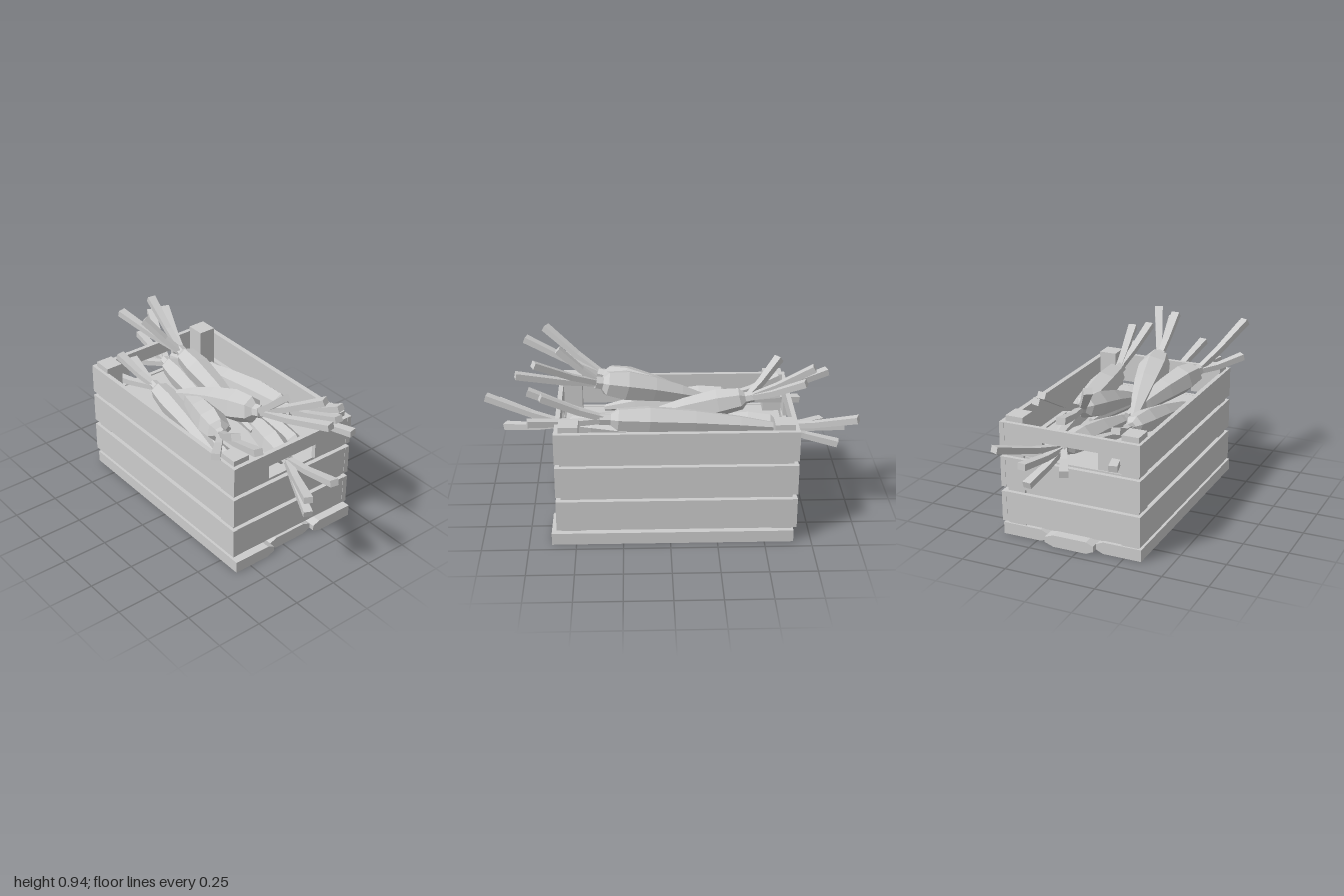
import * as THREE from 'three';

const material = new THREE.MeshStandardMaterial({ color: 0xcccccc, flatShading: true, side: THREE.DoubleSide });

function add(group, name, geometry) {
  const mesh = new THREE.Mesh(geometry, material);
  mesh.name = name;
  group.add(mesh);
  return mesh;
}

// Box given by its limits on each axis
function box(group, name, x0, x1, y0, y1, z0, z1) {
  const mesh = add(group, name, new THREE.BoxGeometry(x1 - x0, y1 - y0, z1 - z0));
  mesh.position.set((x0 + x1) / 2, (y0 + y1) / 2, (z0 + z1) / 2);
}

// Outline of [z, y] points pulled along x
function extrudeX(group, name, points, x0, x1) {
  const shape = new THREE.Shape(points.map(([z, y]) => new THREE.Vector2(-z, y)));
  const geometry = new THREE.ExtrudeGeometry(shape, { depth: x1 - x0, bevelEnabled: false });
  geometry.rotateY(Math.PI / 2);
  geometry.translate(x0, 0, 0);
  add(group, name, geometry);
}

// Closed faceted tube; each ring is [centre, half width, half height]
function loft(rings, sides, twist) {
  const first = rings[0][0], last = rings[rings.length - 1][0];
  const dir = last.clone().sub(first).normalize();
  const side = new THREE.Vector3(0, 1, 0).cross(dir).normalize();
  const up = dir.clone().cross(side);
  const positions = [], index = [];
  for (const [c, w, h] of rings) {
    for (let j = 0; j < sides; j++) {
      const a = twist + (j / sides) * Math.PI * 2;
      const p = c.clone().addScaledVector(side, Math.cos(a) * w).addScaledVector(up, Math.sin(a) * h);
      positions.push(p.x, p.y, p.z);
    }
  }
  const start = rings.length * sides, end = start + 1;
  positions.push(...first.toArray(), ...last.toArray());
  for (let j = 0; j < sides; j++) {
    const k = (j + 1) % sides, top = (rings.length - 1) * sides;
    for (let i = 0; i < rings.length - 1; i++) {
      const a = i * sides + j, b = i * sides + k;
      index.push(a, b, b + sides, a, b + sides, a + sides);
    }
    index.push(start, k, j, end, top + j, top + k);
  }
  const geometry = new THREE.BufferGeometry();
  geometry.setAttribute('position', new THREE.Float32BufferAttribute(positions, 3));
  geometry.setIndex(index);
  const flat = geometry.toNonIndexed();
  flat.computeVertexNormals();
  return flat;
}

// Tapered root with a faceted shoulder and short neck, and stalks that widen to blunt ends
function carrot(parent, { tip, crown, r, leaves = [] }) {
  const group = new THREE.Group();
  group.name = 'carrot';
  const a = new THREE.Vector3(...tip), b = new THREE.Vector3(...crown);
  const profile = [[0, 0.25], [0.25, 0.6], [0.5, 0.85], [0.75, 1], [0.92, 0.8], [0.96, 0.42], [1.02, 0.4]];
  const rings = profile.map(([t, s]) => {
    const c = a.clone().lerp(b, t);
    c.y += Math.sin(Math.min(t, 1) * Math.PI) * 0.012;
    return [c, r * s, r * s];
  });
  add(group, 'root', loft(rings, 6, 0.3));
  const back = b.clone().lerp(a, 0.03);
  for (const leaf of leaves) {
    const e = new THREE.Vector3(...leaf);
    const mid = back.clone().lerp(e, 0.45);
    mid.y -= 0.01;
    add(group, 'stalk', loft([[back, 0.022, 0.02], [mid, 0.026, 0.022], [e, 0.033, 0.025]], 4, Math.PI / 4));
  }
  parent.add(group);
}

export function createModel() {
  const model = new THREE.Group();
  model.name = 'carrotCrate';
  const crate = new THREE.Group();
  crate.name = 'crate';
  model.add(crate);

  // Floor planks with chamfered joints
  const H = 0.066, n0 = 0.018, n1 = 0.048;
  extrudeX(crate, 'floorPlank', [[0.345, 0], [0.345, H], [0.13, H], [0.09, n1], [0.09, n0], [0.13, 0]], -0.655, 0.63);
  extrudeX(crate, 'floorPlank', [[0.05, 0], [0.09, n0], [0.09, n1], [0.05, H], [-0.14, H], [-0.19, n1], [-0.19, n0], [-0.14, 0]], -0.69, 0.6);
  extrudeX(crate, 'floorPlank', [[-0.45, 0], [-0.45, H], [-0.23, H], [-0.19, n1], [-0.19, n0], [-0.23, 0]], -0.655, 0.63);

  // Corner posts
  for (const [x0, x1] of [[-0.645, -0.54], [0.475, 0.578]])
    for (const [z0, z1] of [[-0.422, -0.323], [0.232, 0.328]])
      box(crate, 'cornerPost', x0, x1, 0.06, 0.675, z0, z1);

  // Filling under the top layer, seen through the gaps between slats
  box(crate, 'filling', -0.63, 0.565, 0.06, 0.455, -0.405, 0.305);

  // Slats on the long sides and the ends
  const rows = [[0.085, 0.255], [0.283, 0.452], [0.477, 0.645]];
  rows.forEach(([y0, y1], i) => {
    box(crate, 'frontSlat', -0.67, 0.603, y0, y1, 0.32, 0.345);
    box(crate, 'backSlat', -0.67, 0.603, y0, y1, -0.448, -0.42);
    for (const [x0, x1] of [[-0.668, -0.643], [0.576, 0.601]]) {
      if (i < 2) box(crate, 'endSlat', x0, x1, y0, y1, -0.446, 0.343);
      else extrudeX(crate, 'handleSlat', [[0.343, y0], [0.343, y1], [-0.446, y1], [-0.446, y0],
        [-0.2, y0], [-0.2, 0.567], [0.115, 0.567], [0.115, y0]], x0, x1);
    }
  });

  // Carrots on top of the pile and poking through the handles
  const carrots = [
    { tip: [-0.62, 0.54, -0.17], crown: [0.35, 0.635, -0.24], r: 0.08,
      leaves: [[0.74, 0.66, -0.33], [0.74, 0.79, -0.22], [0.67, 0.79, -0.3]] },
    { tip: [0.25, 0.52, -0.07], crown: [-0.44, 0.69, -0.1], r: 0.074,
      leaves: [[-0.77, 0.87, -0.14], [-0.72, 0.81, -0.2], [-0.6, 0.86, 0.03], [-0.86, 0.79, 0.01]] },
    { tip: [-0.22, 0.59, 0.11], crown: [0.38, 0.74, 0], r: 0.088,
      leaves: [[0.59, 0.93, 0.01], [0.71, 0.91, -0.15], [0.81, 0.83, -0.1]] },
    { tip: [-0.2, 0.59, 0.06], crown: [0.37, 0.69, 0.24], r: 0.08,
      leaves: [[0.68, 0.91, 0.4], [0.79, 0.86, 0.35], [0.56, 0.74, 0.43]] },
    { tip: [0.35, 0.49, 0.22], crown: [-0.36, 0.59, 0.14], r: 0.068,
      leaves: [[-0.62, 0.68, 0.19], [-0.74, 0.53, 0.23], [-0.62, 0.62, 0.1]] },
    { tip: [-0.1, 0.48, -0.2], crown: [0.57, 0.52, -0.04], r: 0.072,
      leaves: [[0.99, 0.65, 0.03], [0.94, 0.57, 0.15], [0.9, 0.44, 0.11]] },
    { tip: [0.1, 0.47, -0.02], crown: [-0.61, 0.53, -0.12], r: 0.072,
      leaves: [[-0.99, 0.64, -0.29], [-0.91, 0.44, -0.16], [-0.94, 0.55, -0.17], [-0.84, 0.5, 0.01]] },
    // Carrots lower in the pile
    { tip: [-0.45, 0.43, -0.25], crown: [0.45, 0.43, -0.25], r: 0.07 },
    { tip: [-0.4, 0.43, 0.1], crown: [0.45, 0.43, 0.16], r: 0.07 },
  ];
  carrots.forEach((c) => carrot(model, c));
  return model;
}
